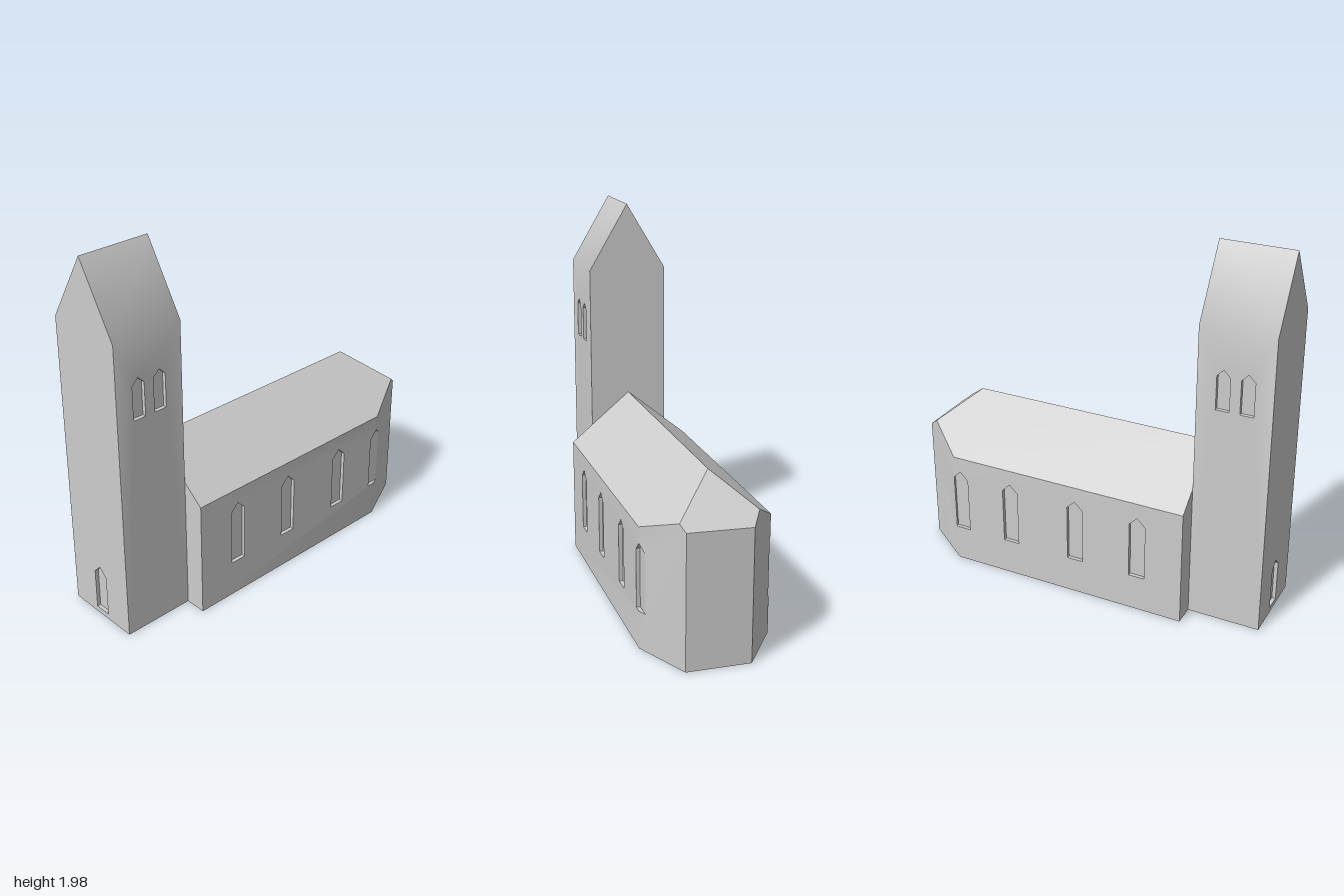
import * as THREE from 'three';
import { toCreasedNormals } from 'three/addons/utils/BufferGeometryUtils.js';

const V = (x, y, z) => new THREE.Vector3(x, y, z);
const DEPTH = 0.02; // window recess

// Adds one triangle, wound so that it faces the direction "out"
function addTri(list, a, b, c, out) {
  const n = b.clone().sub(a).cross(c.clone().sub(a));
  if (n.length() < 1e-8) return;
  const pts = n.dot(out) < 0 ? [a, c, b] : [a, b, c];
  pts.forEach((p) => list.push(p.x, p.y, p.z));
}

// Convex polygon in space
function addPoly(list, pts, out) {
  for (let i = 1; i < pts.length - 1; i++) addTri(list, pts[0], pts[i], pts[i + 1], out);
}

// Flat outline with holes, placed in space by map(u, v)
function addFace(list, outline, holes, map, out) {
  const to2 = (ring) => ring.map(([u, v]) => new THREE.Vector2(u, v));
  const contour = to2(outline);
  const cuts = holes.map(to2);
  const all = contour.concat(...cuts).map((p) => map(p.x, p.y));
  THREE.ShapeUtils.triangulateShape(contour, cuts)
    .forEach(([a, b, c]) => addTri(list, all[a], all[b], all[c], out));
}

// Reveals and back plate of a recessed opening
function addRecess(list, ring, outer, inner, out) {
  const centre = inner((ring[0][0] + ring[ring.length - 1][0]) / 2, ring[0][1] + 0.08);
  ring.forEach((p, i) => {
    const q = ring[(i + 1) % ring.length];
    const quad = [outer(...p), outer(...q), inner(...q), inner(...p)];
    addPoly(list, quad, centre.clone().sub(quad[3]));
  });
  addFace(list, ring, [], inner, out);
}

// Pointed window outline
const lancet = (c, half, y0, apex) => [
  [c - half, y0], [c - half, apex - half], [c, apex], [c + half, apex - half], [c + half, y0],
];

export function createModel() {
  const group = new THREE.Group();
  const stone = new THREE.MeshStandardMaterial({ color: 0xcccccc });
  stone.name = 'grey stone';

  const addMesh = (name, list, crease) => {
    const geo = new THREE.BufferGeometry();
    geo.setAttribute('position', new THREE.Float32BufferAttribute(list, 3));
    const mesh = new THREE.Mesh(toCreasedNormals(geo, crease), stone);
    mesh.name = name;
    group.add(mesh);
  };

  // ---- Tower ----
  const W = -1, E = -0.61, TZ = 0.215, EAVE = 1.62, TOP = 1.98;
  const tower = [], towerWindows = [], door = [];
  const bells = [-0.87, -0.745].map((c) => lancet(c, 0.035, 1.2, 1.415));
  for (const s of [1, -1]) {
    const out = V(0, 0, s);
    const outer = (x, y) => V(x, y, s * TZ);
    const inner = (x, y) => V(x, y, s * (TZ - DEPTH));
    addFace(tower, [[W, 0], [E, 0], [E, EAVE], [W, EAVE]], bells, outer, out);
    bells.forEach((ring) => addRecess(towerWindows, ring, outer, inner, out));
    addPoly(tower, [V(W, EAVE, s * TZ), V(E, EAVE, s * TZ), V(E, TOP, 0), V(W, TOP, 0)], V(0, 0.5, s));
  }
  const gable = [[-TZ, 0], [TZ, 0], [TZ, EAVE], [0, TOP], [-TZ, EAVE]];
  const doorway = lancet(0, 0.045, 0.03, 0.3);
  const west = (z, y) => V(W, y, z);
  addFace(tower, gable, [doorway], west, V(-1, 0, 0));
  addFace(tower, gable, [], (z, y) => V(E, y, z), V(1, 0, 0));
  addRecess(door, doorway, west, (z, y) => V(W + DEPTH, y, z), V(-1, 0, 0));
  addPoly(tower, [V(W, 0, -TZ), V(E, 0, -TZ), V(E, 0, TZ), V(W, 0, TZ)], V(0, -1, 0));
  addMesh('tower', tower, 0.7);
  addMesh('towerWindows', towerWindows, 0.3);
  addMesh('doorway', door, 0.3);

  // ---- Nave with a canted east end ----
  const NZ = 0.33, RIDGE = 0.91, HIP = 0.74, SLOPE = 0.82;
  const roofY = (x, z) => RIDGE - SLOPE * Math.max(Math.abs(z), x - HIP);
  const walls = [], roof = [], naveWindows = [];
  const ends = [], hips = [], floor = [];
  const sides = [
    { s: 1, cx: 0.7, ex: 0.99, ez: 0.19 },
    { s: -1, cx: 0.735, ex: 1, ez: 0.14 },
  ];
  for (const { s, cx, ex, ez } of sides) {
    const m = (NZ - ez) / (ex - cx);
    const wallZ = (x) => NZ - m * Math.max(0, x - cx);
    const outer = (x, y) => V(x, y, s * wallZ(x));
    const inner = (x, y) => V(x, y, s * (NZ - DEPTH));
    const out = V(0, 0, s);
    const eave = roofY(0, NZ);
    const hx = (NZ + m * cx + HIP) / (1 + m);
    const hip = V(hx, roofY(hx, wallZ(hx)), s * wallZ(hx));
    const end = V(ex, roofY(ex, ez), s * ez);

    // Last window wraps the corner of the wall
    const c = 0.7, l = c - 0.045, r = Math.min(c + 0.045, cx + DEPTH / m);
    const archY = (x) => 0.555 - Math.abs(x - c);
    const left = [[cx, 0.2], [l, 0.2], [l, archY(l)], [c, 0.555]];
    if (cx > c) left.push([cx, archY(cx)]);
    const right = [[cx, archY(cx)], [r, archY(r)], [r, 0.2], [cx, 0.2]];
    const cornerRing = [...left, ...right.slice(1, 3)];

    // Straight wall, canted wall and their windows
    const rings = [-0.36, 0, 0.39].map((x) => lancet(x, 0.045, 0.2, 0.555));
    addFace(walls, [[E, 0], [cx, 0], ...left, [cx, eave], [E, eave]], rings, outer, out);
    addFace(walls, [[cx, 0], [ex, 0], [ex, end.y], [hx, hip.y], [cx, eave], ...right],
      [], outer, V(m, 0, s));
    [...rings, cornerRing].forEach((ring) => addRecess(naveWindows, ring, outer, inner, out));

    // Main roof slope
    addPoly(roof, [V(E, RIDGE, 0), V(HIP, RIDGE, 0), hip, V(cx, eave, s * NZ), V(E, eave, s * NZ)],
      V(0, 1, s));
    ends.push(end);
    hips.push(hip);
    const half = [V(E, 0, s * NZ), V(cx, 0, s * NZ), V(ex, 0, s * ez)];
    floor.push(...(s > 0 ? half : half.reverse()));
  }
  // Hipped roof end, east wall, west gable and underside
  addPoly(roof, [V(HIP, RIDGE, 0), hips[0], ends[0], ends[1], hips[1]], V(1, 1, 0));
  addPoly(walls, [ends[0], ends[1], V(ends[1].x, 0, ends[1].z), V(ends[0].x, 0, ends[0].z)], V(1, 0, 0));
  const e = roofY(0, NZ);
  addPoly(walls, [V(E, 0, -NZ), V(E, 0, NZ), V(E, e, NZ), V(E, RIDGE, 0), V(E, e, -NZ)], V(-1, 0, 0));
  addPoly(walls, floor, V(0, -1, 0));
  addMesh('naveWalls', walls, 0.7);
  addMesh('naveRoof', roof, 0.3);
  addMesh('naveWindows', naveWindows, 0.3);

  return group;
}
